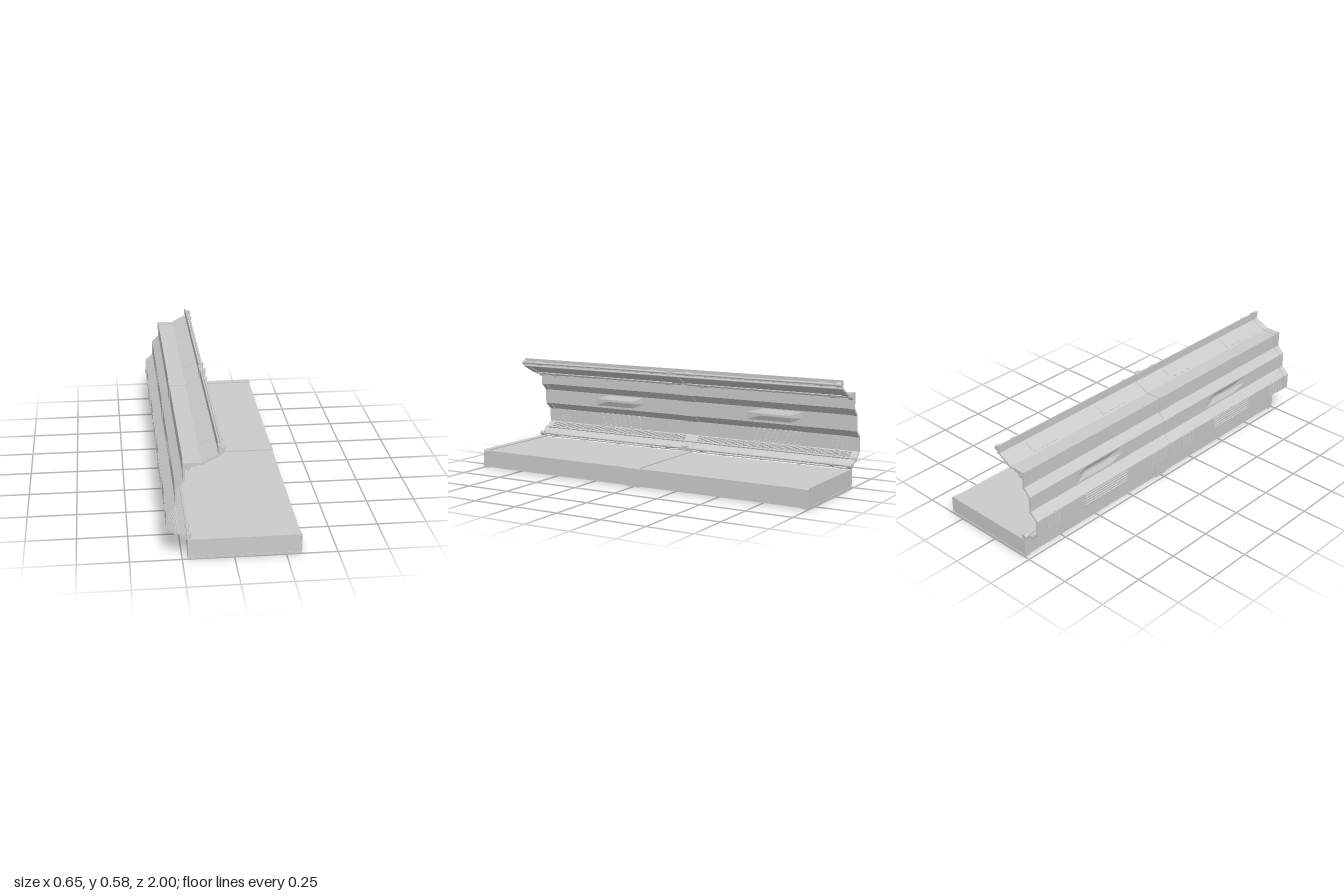
import * as THREE from 'three';

// Wall profile from floor edge to top lip (outer face)
const PROFILE = [[-0.224, 0.1], [-0.263, 0.135], [-0.281, 0.135], [-0.324, 0.177], [-0.324, 0.261],
  [-0.281, 0.299], [-0.281, 0.308], [-0.281, 0.335], [-0.281, 0.347], [-0.281, 0.373], [-0.281, 0.381],
  [-0.243, 0.42], [-0.243, 0.504], [-0.156, 0.504], [-0.079, 0.543], [-0.079, 0.584]];
const BLISTER_ROWS = [7, 8];

// Mitred offset of the profile towards the inside
function offset(pts, d) {
  const normal = (a, b) => {
    const x = b[0] - a[0], y = b[1] - a[1], l = Math.hypot(x, y);
    return [y / l, -x / l];
  };
  return pts.map((p, i) => {
    const n0 = normal(pts[Math.max(i - 1, 0)], pts[Math.max(i, 1)]);
    const n1 = i < pts.length - 1 ? normal(p, pts[i + 1]) : n0;
    const k = d / (1 + n0[0] * n1[0] + n0[1] * n1[1]);
    return [p[0] + (n0[0] + n1[0]) * k, p[1] + (n0[1] + n1[1]) * k];
  });
}

const ringBetween = (d0, d1) => [...offset(PROFILE, d0), ...offset(PROFILE, d1).reverse()];
const toShape = (pts) => new THREE.Shape(pts.map(([x, y]) => new THREE.Vector2(x, y)));

function extrude(shape, z0, z1) {
  const g = new THREE.ExtrudeGeometry(shape, { depth: z1 - z0, bevelEnabled: false });
  return g.translate(0, 0, z0);
}

// Wall skin lofted along z, pressed inwards to form the blister
function wallGeometry(z0) {
  const ring = ringBetween(0.003, 0.008);
  const n = ring.length, pos = [];
  const stations = [0.02, 0.31, 0.38, 0.55, 0.635, 0.98];
  const point = (i, s) => {
    const j = i % n, row = j < n / 2 ? j : n - 1 - j;
    const press = BLISTER_ROWS.includes(row) && (s === 2 || s === 3) ? 0.012 : 0;
    return [ring[j][0] + press, ring[j][1], z0 + stations[s]];
  };
  for (let s = 0; s < stations.length - 1; s++) {
    for (let i = 0; i < n; i++) {
      const a = point(i, s), b = point(i + 1, s), c = point(i + 1, s + 1), d = point(i, s + 1);
      pos.push(...a, ...d, ...c, ...a, ...c, ...b);
    }
  }
  const g = new THREE.BufferGeometry();
  g.setAttribute('position', new THREE.Float32BufferAttribute(pos, 3));
  g.computeVertexNormals();
  return g;
}

export function createModel() {
  const root = new THREE.Group();
  const mat = new THREE.MeshStandardMaterial({ color: 0xcccccc });
  const group = (name, parent = root) => {
    const g = new THREE.Group();
    g.name = name;
    parent.add(g);
    return g;
  };
  const add = (parent, name, geo) => {
    const m = new THREE.Mesh(geo, mat);
    m.name = name;
    parent.add(m);
    return m;
  };
  const box = (parent, name, x0, x1, y0, y1, z0, z1) =>
    add(parent, name, new THREE.BoxGeometry(x1 - x0, y1 - y0, z1 - z0)
      .translate((x0 + x1) / 2, (y0 + y1) / 2, (z0 + z1) / 2));
  const rod = (parent, name, x, y, z0, z1, r0, r1 = r0, sides = 14) =>
    add(parent, name, new THREE.CylinderGeometry(r1, r0, z1 - z0, sides)
      .rotateX(Math.PI / 2).translate(x, y, (z0 + z1) / 2));

  // Floor slab with raised bands at both ends and the middle
  const floor = group('floor');
  box(floor, 'floorSlab', -0.219, 0.321, 0.004, 0.098, -0.997, 0.997);
  const band = toShape([[-0.224, 0], [0.325, 0], [0.325, 0.097], [0.319, 0.104], [-0.224, 0.104]]);
  const opening = [[-0.219, 0.011], [0.321, 0.011], [0.321, 0.094], [-0.219, 0.094]];
  band.holes.push(new THREE.Path(opening.map(([x, y]) => new THREE.Vector2(x, y))));
  const ribSpans = [[-1, -0.965], [-0.04, 0.04], [0.965, 1]];
  ribSpans.forEach(([a, b]) => add(floor, 'floorBand', extrude(band, a, b)));

  // Wall ribs follow the full profile
  const wall = group('wall');
  const ribShape = toShape(ringBetween(0, 0.011));
  ribSpans.forEach(([a, b]) => add(wall, 'wallRib', extrude(ribShape, a, b)));

  // Louvred vent: slats on both faces with uprights and a frame
  function louvre(parent, z0, z1) {
    const vent = group('louvreVent', parent);
    for (const y of [0.181, 0.254]) box(vent, 'ventFrame', -0.317, -0.309, y, y + 0.004, z0, z1);
    for (let i = 0; i < 5; i++) {
      const y = 0.191 + i * 0.0145;
      rod(vent, 'outerSlat', -0.322, y, z0, z1, 0.0045, 0.0045, 8);
      box(vent, 'innerSlat', -0.317, -0.311, y - 0.004, y + 0.003, z0, z1);
    }
    for (let i = 0; i <= 5; i++) {
      const z = z0 + (z1 - z0 - 0.005) * i / 5;
      box(vent, 'ventUpright', -0.324, -0.309, 0.183, 0.257, z, z + 0.005);
    }
  }

  // Small crosshatched grille
  function grille(parent, z0, z1) {
    const g = group('grille', parent);
    box(g, 'grilleBack', -0.322, -0.314, 0.183, 0.256, z0, z1);
    const cols = Math.round((z1 - z0) / 0.025);
    for (let i = 0; i <= cols; i++) {
      const z = z0 + (z1 - z0 - 0.004) * i / cols;
      box(g, 'grilleUpright', -0.324, -0.311, 0.183, 0.256, z, z + 0.004);
    }
    for (let i = 0; i <= 5; i++) {
      const y = 0.183 + i * 0.0138;
      box(g, 'grilleBar', -0.324, -0.311, y, y + 0.004, z0, z1);
    }
  }

  // Rails: x, y, pipe radius, fitting radius
  const mainRails = [[-0.218, 0.12], [-0.218, 0.48], [-0.057, 0.562]];
  const thinRails = [[-0.198, 0.488], [-0.184, 0.488], [-0.065, 0.542], [-0.27, 0.15]];

  // Two identical bays along z
  for (const z of [-1, 0]) {
    const bay = group('bay');
    add(bay, 'wallSkin', wallGeometry(z));
    louvre(bay, z + 0.32, z + 0.63);
    grille(bay, z + 0.06, z + 0.16);
    grille(bay, z + 0.81, z + 0.95);

    // Sloping grating above the lower step
    const grating = group('grating', bay);
    for (let i = 0; i < 8; i++) {
      rod(grating, 'gratingRod', -0.307 + i * 0.0035, 0.176 - i * 0.0035, z + 0.04, z + 0.96, 0.0017, 0.0017, 6);
    }
    for (let i = 0; i <= 46; i++) {
      const bar = add(grating, 'gratingBar', new THREE.BoxGeometry(0.004, 0.036, 0.004));
      bar.position.set(-0.296, 0.163, z + 0.04 + i * 0.02);
      bar.rotation.z = Math.PI / 4;
    }

    // Shallow plates on the sloping roof
    for (const [a, b] of [[0.16, 0.31], [0.64, 0.8]]) {
      const plate = add(bay, 'roofPlate', new THREE.BoxGeometry(0.062, 0.006, b - a));
      plate.position.set(-0.117, 0.5195, z + (a + b) / 2);
      plate.rotation.z = Math.atan2(0.039, 0.077);
    }

    // Swelling couplings near both ends of each main rail
    for (const [x, y] of mainRails) {
      for (const c of [0.11, 0.89]) {
        rod(bay, 'coupling', x, y, z + c - 0.008, z + c + 0.008, 0.012);
        rod(bay, 'couplingTaper', x, y, z + c - 0.04, z + c - 0.008, 0.006, 0.009);
        rod(bay, 'couplingTaper', x, y, z + c + 0.008, z + c + 0.04, 0.009, 0.006);
      }
    }
  }

  // Continuous rails with end collars and a middle clamp
  const rails = group('rails');
  for (const [x, y] of mainRails) {
    rod(rails, 'mainRail', x, y, -0.99, 0.99, 0.006);
    for (const [a, b] of [[-1, -0.975], [0.975, 1]]) rod(rails, 'endCollar', x, y, a, b, 0.0135, 0.0135, 20);
    box(rails, 'middleClamp', x - 0.0135, x + 0.0135, y - 0.0135, y + 0.0135, -0.016, 0.016);
  }
  for (const [x, y] of thinRails) rod(rails, 'thinRail', x, y, -1, 1, 0.005, 0.005, 10);

  // Small control plate on the inner wall
  box(wall, 'controlPlate', -0.276, -0.269, 0.325, 0.362, 0.062, 0.086);

  return root;
}
